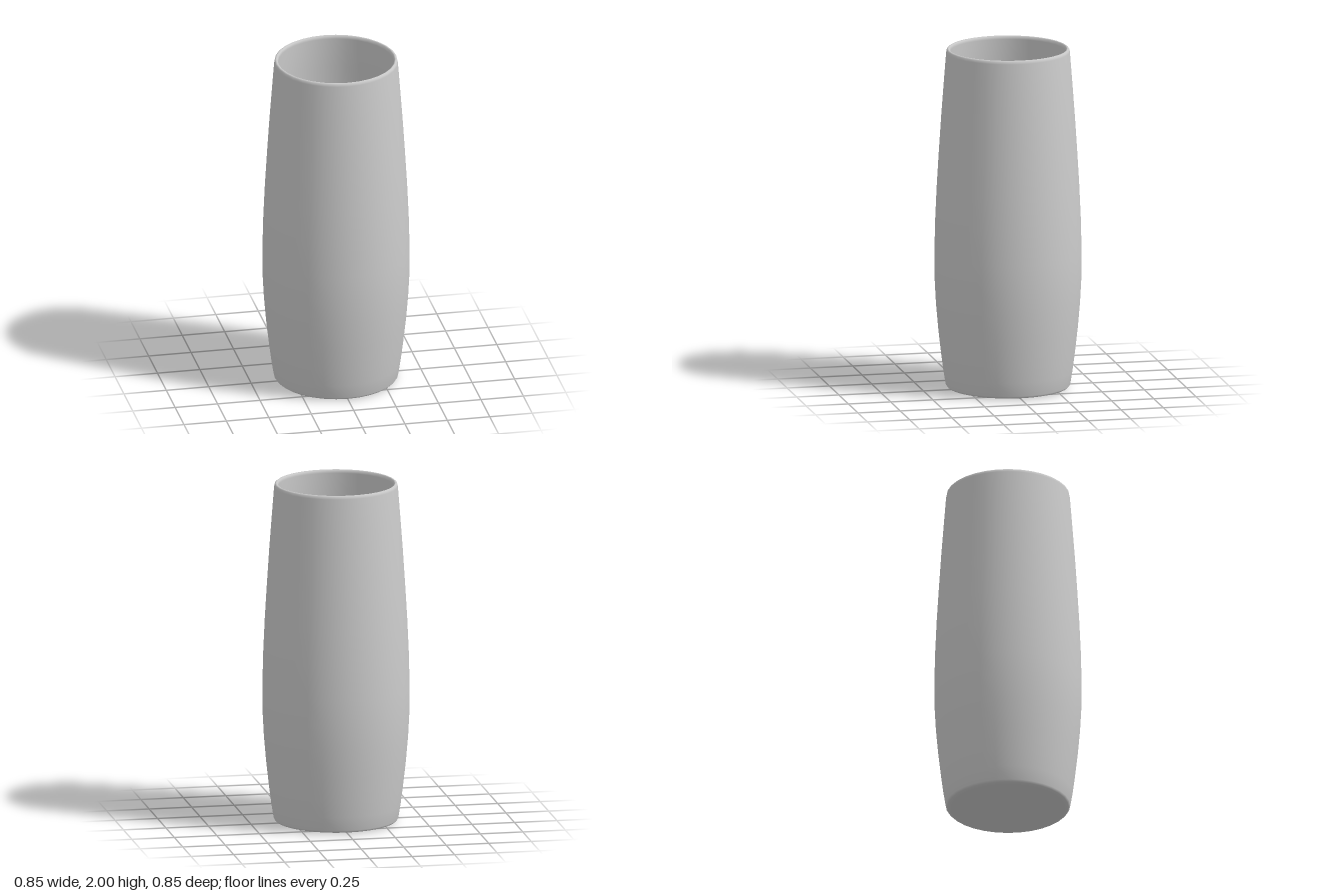
import * as THREE from 'three';

export function createModel() {
  const group = new THREE.Group();
  group.name = 'vase';
  const material = new THREE.MeshStandardMaterial({ color: 0xcccccc });

  // Outer wall, [radius, height] from the foot up to the rim
  const outer = [
    [0.36, 0.02], [0.373, 0.1], [0.386, 0.2], [0.403, 0.35], [0.416, 0.5],
    [0.424, 0.65], [0.425, 0.8], [0.42, 1.0], [0.411, 1.2], [0.399, 1.4],
    [0.386, 1.6], [0.371, 1.8], [0.357, 1.98],
  ];
  const wall = 0.024;

  // Closed section: underside, outside, rounded rim, inside, inner floor
  const profile = [
    [0, 0], [0.3, 0], [0.328, 0.002], [0.35, 0.008],
    ...outer,
    [0.354, 1.994], [0.346, 2], [0.338, 1.996],
    ...outer.slice(1).reverse().map(([r, y]) => [r - wall, y]),
    [0.342, 0.06], [0.328, 0.04], [0.3, 0.03], [0, 0.027],
  ].map(([r, y]) => new THREE.Vector2(r, y));

  const body = new THREE.Mesh(new THREE.LatheGeometry(profile, 32), material);
  body.name = 'vaseBody';
  group.add(body);
  return group;
}
